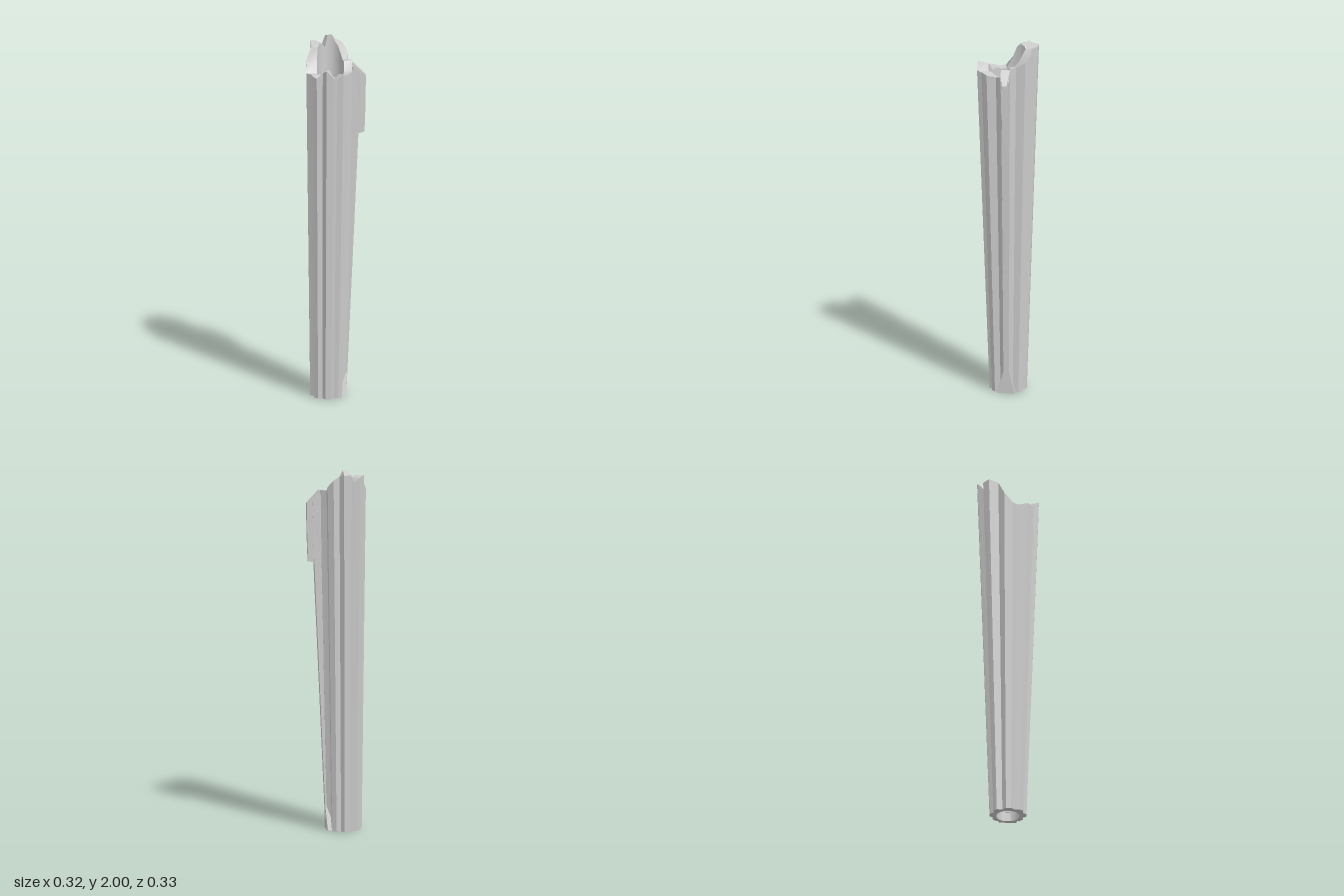
import * as THREE from 'three';
import { toCreasedNormals } from 'three/addons/utils/BufferGeometryUtils.js';

const material = new THREE.MeshStandardMaterial({ color: 0xcccccc, side: THREE.DoubleSide });

// Skin a list of equal-sized closed rings; optionally cap both ends.
function loft(rings, capped) {
  const n = rings[0].length, index = [];
  for (let r = 0; r < rings.length - 1; r++) {
    for (let j = 0; j < n; j++) {
      const a = r * n + j, b = r * n + (j + 1) % n;
      index.push(a, a + n, b + n, a, b + n, b);
    }
  }
  if (capped) {
    const top = (rings.length - 1) * n;
    for (let j = 1; j < n - 1; j++) {
      index.push(0, j, j + 1, top, top + j + 1, top + j);
    }
  }
  const geometry = new THREE.BufferGeometry();
  geometry.setAttribute('position', new THREE.Float32BufferAttribute(rings.flat(2), 3));
  geometry.setIndex(index);
  return toCreasedNormals(geometry, 0.4);
}

function part(name, geometry) {
  const mesh = new THREE.Mesh(geometry, material);
  mesh.name = name;
  return mesh;
}

// One quarter of the fluted outline, mirrored into eight lobes.
const quarter = [[0.126, 0.024], [0.097, 0.055], [0.1, 0.106], [0.073, 0.137], [0.04, 0.132], [0.02, 0.167]];
const half = [...quarter, ...quarter.map(([x, z]) => [-x, z]).reverse()];
const outline = [...half, ...half.map(([x, z]) => [x, -z]).reverse()];

// Heights of the broken rim, from +x round through the front.
const rim = [1.83, 1.82, 1.83, 1.84, 1.82, 1.83, 1.87, 1.85, 1.82, 1.83, 1.82, 1.82,
  1.88, 1.95, 1.97, 1.96, 1.935, 1.98, 1.98, 1.97, 1.95, 1.91, 1.88, 1.88];

function createShaft() {
  const outer = outline.map(([x, z], i) => [x - 0.036, rim[i], z]);
  const base = outline.map(([x, z]) => [x * 0.76 - 0.045, 0, z * 0.6]);
  const ellipse = (cx, rx, rz, height) => outline.map(([x, z], i) => {
    const a = Math.atan2(z / 0.167, x / 0.128);
    return [cx + rx * Math.cos(a), height(i), rz * Math.sin(a)];
  });
  const inner = ellipse(-0.031, 0.074, 0.107, i => rim[i] + (i === 17 || i === 18 ? 0.02 : -0.005));
  const hole = ellipse(-0.034, 0.067, 0.064, () => 0);
  return loft([base, outer, inner, hole, base], false);
}

// Rectangular cross-section between two x positions.
const slab = (x0, x1, y0, y1, w0, w1) => [[x1, y1, -w1], [x1, y1, w1], [x0, y0, w0], [x0, y0, -w0]];

export function createModel() {
  const group = new THREE.Group();
  group.name = 'brokenHollowTrunk';
  group.add(part('flutedShaft', createShaft()));

  // Narrow ridge widening upward along the +x side
  group.add(part('sideRidge', loft([
    slab(0.03, 0.057, 0.05, 0.05, 0.014, 0.014),
    slab(0.07, 0.121, 1.48, 1.48, 0.022, 0.016),
    slab(0.088, 0.134, 1.86, 1.82, 0.026, 0.022),
  ], true)));

  // Broken branch stub standing out of the ridge
  group.add(part('branchStub', loft([
    slab(0.09, 0.154, 1.47, 1.485, 0.018, 0.01),
    slab(0.095, 0.16, 1.65, 1.65, 0.024, 0.013),
    slab(0.09, 0.161, 1.875, 1.805, 0.025, 0.014),
  ], true)));

  // Wedge flaring out at the foot
  group.add(part('footWedge', loft([
    slab(0.03, 0.052, 0, 0, 0.05, 0.048),
    slab(0.035, 0.06, 0.13, 0.13, 0.016, 0.015),
  ], true)));
  return group;
}
